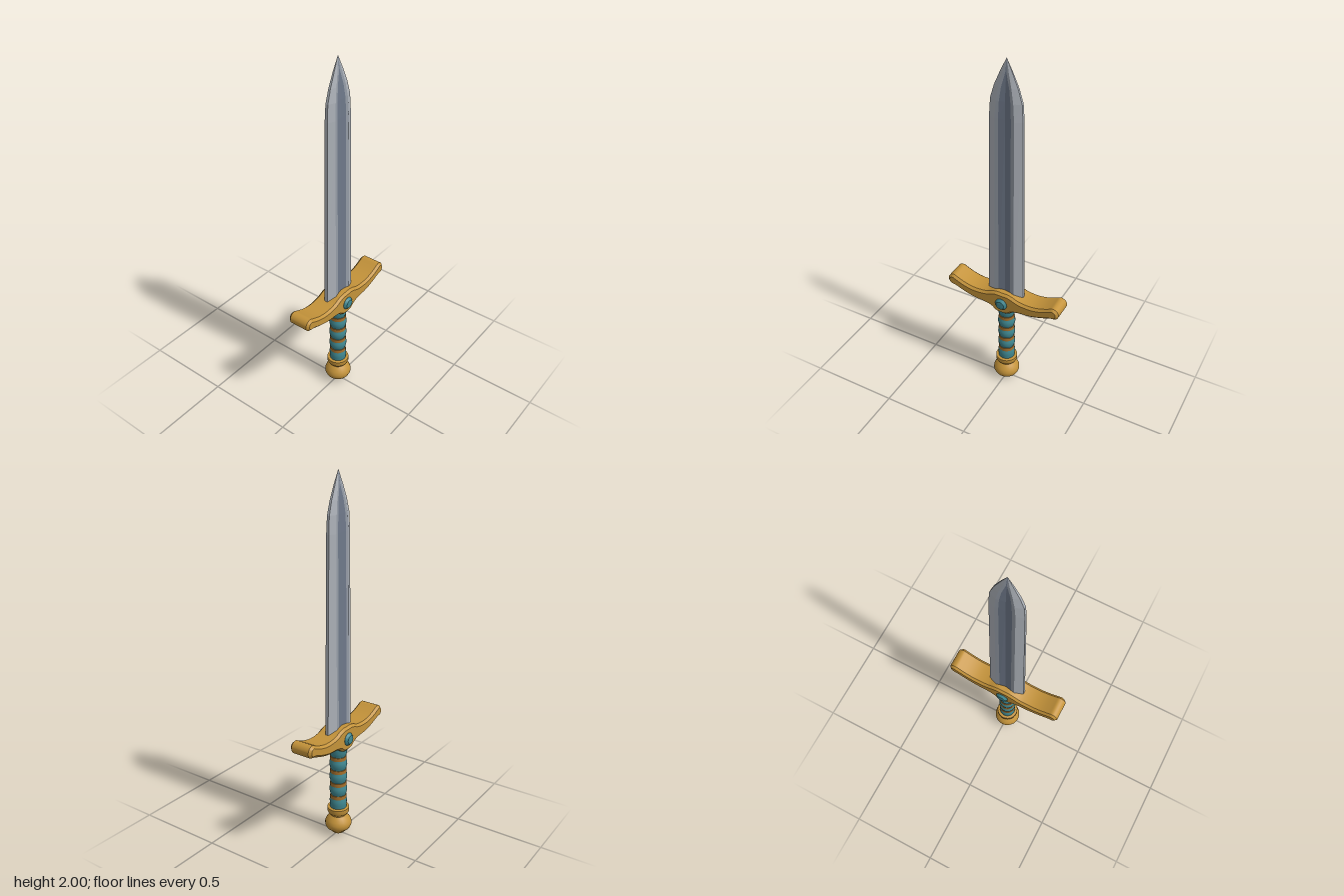
import * as THREE from 'three';
import { toCreasedNormals } from 'three/addons/utils/BufferGeometryUtils.js';

const mat = (name, color) => new THREE.MeshStandardMaterial({ name, color });

export function createModel() {
  const gold = mat('gold', 0xc4933a);
  const bronze = mat('bronze', 0xa5702c);
  const teal = mat('teal', 0x3f8790);
  const steel = mat('light steel', 0xaeb3ba);
  const midSteel = mat('middle steel', 0x959ca6);
  const darkSteel = mat('dark steel', 0x6f798a);

  const model = new THREE.Group();
  model.name = 'sword';
  const add = (name, geometry, material) => {
    const mesh = new THREE.Mesh(geometry, material);
    mesh.name = name;
    model.add(mesh);
    return mesh;
  };
  const lathe = (points, segments = 24) => toCreasedNormals(
    new THREE.LatheGeometry(points.map(([r, y]) => new THREE.Vector2(r, y)), segments).toNonIndexed(), 0.6);

  // Blade sections: height, half widths of edge, ridge and fuller, then
  // half thicknesses of edge, ridge, fuller side and fuller centre.
  const sections = [
    [0.60, 0.106, 0.058, 0.036, 0.009, 0.032, 0.029, 0.022],
    [1.70, 0.090, 0.052, 0.034, 0.008, 0.025, 0.023, 0.018],
    [1.79, 0.084, 0.046, 0.030, 0.007, 0.023, 0.021, 0.016],
    [1.86, 0.063, 0.034, 0.021, 0.006, 0.018, 0.016, 0.013],
    [1.93, 0.033, 0.016, 0.003, 0.004, 0.010, 0.009, 0.009],
    [2.00, 0, 0, 0, 0, 0, 0, 0],
  ];
  const rings = sections.map(([y, e, r, f, ze, zr, zf, zc]) => {
    const front = [[-e, ze], [-r, zr], [-f, zf], [0, zc], [f, zf], [r, zr], [e, ze]];
    const back = front.map(([x, z]) => [-x, -z]);
    return [...front, ...back].map(([x, z]) => [x, y, z]);
  });
  const strips = { bladeEdges: [], bladeRidges: [], bladeFuller: [] };
  const stripOf = ['bladeEdges', 'bladeRidges', 'bladeFuller', 'bladeFuller', 'bladeRidges', 'bladeEdges', 'bladeEdges'];
  for (let i = 0; i < rings.length - 1; i++) {
    for (let j = 0; j < 14; j++) {
      const k = (j + 1) % 14;
      const a = rings[i][j], b = rings[i][k], c = rings[i + 1][k], d = rings[i + 1][j];
      const out = strips[stripOf[j % 7]];
      out.push(...a, ...b, ...c);
      if (i < rings.length - 2) out.push(...a, ...c, ...d);
    }
  }
  const bladeMaterials = { bladeEdges: steel, bladeRidges: midSteel, bladeFuller: darkSteel };
  for (const name in strips) {
    const g = new THREE.BufferGeometry();
    g.setAttribute('position', new THREE.Float32BufferAttribute(strips[name], 3));
    g.computeVertexNormals();
    add(name, g, bladeMaterials[name]);
  }

  // Crossguard: mirrored curved outline with chamfered faces
  const right = [
    [0, 0.526], [0.035, 0.530], [0.065, 0.552], [0.10, 0.562], [0.17, 0.568], [0.24, 0.587],
    [0.29, 0.606], [0.318, 0.611], [0.335, 0.627], [0.338, 0.650], [0.326, 0.670], [0.303, 0.678],
    [0.28, 0.668], [0.23, 0.648], [0.17, 0.637], [0.10, 0.643], [0.065, 0.657], [0.035, 0.665], [0, 0.665],
  ];
  const left = right.slice(1, -1).reverse().map(([x, y]) => [-x, y]);
  const outline = new THREE.CatmullRomCurve3(
    [...right, ...left].map(([x, y]) => new THREE.Vector3(x, y, 0)), true, 'centripetal');
  const shape = new THREE.Shape(outline.getPoints(96).slice(0, -1).map((p) => new THREE.Vector2(p.x, p.y)));
  const guard = new THREE.ExtrudeGeometry(shape, {
    depth: 0.106, bevelEnabled: true, bevelSegments: 1, bevelThickness: 0.013, bevelSize: 0.013, bevelOffset: -0.013,
  });
  guard.translate(0, 0, -0.053);
  add('crossguard', toCreasedNormals(guard, 0.5), gold);

  // Round gem on each face of the guard
  for (const side of [1, -1]) {
    const gem = add(side > 0 ? 'frontGem' : 'backGem',
      lathe([[0.036, 0], [0.036, 0.004], [0.031, 0.011], [0.024, 0.018], [0.012, 0.020], [0, 0.020]], 16), teal);
    gem.rotation.x = side * Math.PI / 2;
    gem.position.set(0, 0.595, side * 0.063);
  }

  // Grip: swelling wraps with a bronze band in each groove
  const grooves = [0.233, 0.312, 0.391, 0.470];
  const grip = [[0.045, 0.15], [0.047, 0.185]];
  for (const y of grooves) {
    grip.push([0.048, y - 0.022], [0.042, y - 0.010], [0.041, y + 0.010], [0.046, y + 0.022], [0.049, y + 0.038]);
  }
  grip.push([0.050, 0.54]);
  add('grip', lathe(grip, 20), teal);
  grooves.forEach((y, i) => add(`gripBand${i + 1}`,
    lathe([[0.040, y - 0.011], [0.0455, y - 0.010], [0.0445, y + 0.010], [0.040, y + 0.011]], 20), bronze));

  // Pommel: collar, neck and rounded knob
  add('pommel', lathe([
    [0, 0], [0.036, 0.006], [0.050, 0.022], [0.066, 0.036], [0.074, 0.054], [0.074, 0.070], [0.067, 0.088],
    [0.054, 0.104], [0.044, 0.114], [0.046, 0.121], [0.056, 0.129], [0.061, 0.140], [0.061, 0.162], [0.045, 0.165], [0, 0.165],
  ]), gold);

  return model;
}
